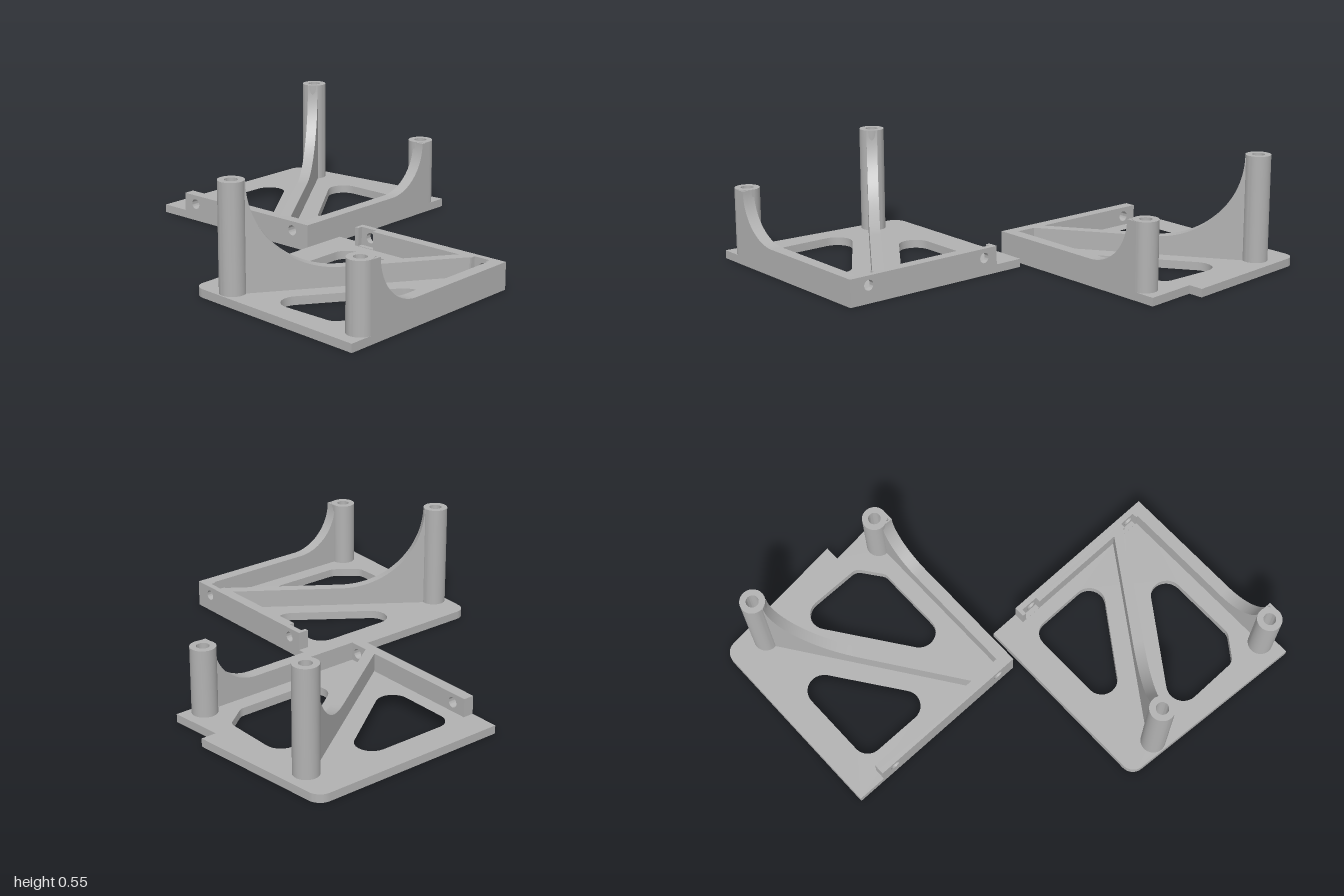
import * as THREE from 'three';
import { toCreasedNormals } from 'three/addons/utils/BufferGeometryUtils.js';

const PLATE = 0.04, WALL = 0.13, POST_R = 0.06, FRONT = -0.02;
const TALL = { x: 0.8, z: -0.81, h: 0.55 };
const SHORT = { x: 0.8, z: -0.08, h: 0.365 };
const BOLTS = [-0.78, -0.12];

// Polygon of [x, y, radius] corners, rounded with true arcs
function roundedPoints(corners) {
  const out = [];
  corners.forEach(([x, y, r = 0], i) => {
    const p = new THREE.Vector2(x, y);
    if (!r) return out.push(p);
    const a = corners[(i + corners.length - 1) % corners.length];
    const b = corners[(i + 1) % corners.length];
    const u = new THREE.Vector2(a[0], a[1]).sub(p).normalize();
    const v = new THREE.Vector2(b[0], b[1]).sub(p).normalize();
    const half = Math.acos(u.dot(v)) / 2;
    const c = p.clone().addScaledVector(u.clone().add(v).normalize(), r / Math.sin(half));
    const t = r / Math.tan(half);
    const a0 = p.clone().addScaledVector(u, t).sub(c).angle();
    let d = p.clone().addScaledVector(v, t).sub(c).angle() - a0;
    if (d > Math.PI) d -= 2 * Math.PI;
    if (d < -Math.PI) d += 2 * Math.PI;
    for (let k = 0; k <= 10; k++) {
      const ang = a0 + d * k / 10;
      out.push(new THREE.Vector2(c.x + r * Math.cos(ang), c.y + r * Math.sin(ang)));
    }
  });
  return out;
}

function circleHole(x, y, r) {
  const path = new THREE.Path();
  path.absarc(x, y, r, 0, Math.PI * 2, true);
  return path;
}

const extrude = (shape, depth) =>
  new THREE.ExtrudeGeometry(shape, { depth, bevelEnabled: false, curveSegments: 16 });

// One bracket half; side 1 is the left half, side -1 the mirrored right half
function bracket(side, outline, nutPockets, material) {
  const group = new THREE.Group();
  const mx = x => side > 0 ? x : -0.045 - x;
  const add = (name, geometry) => {
    const mesh = new THREE.Mesh(toCreasedNormals(geometry, 0.5), material);
    mesh.name = name;
    group.add(mesh);
    return mesh;
  };
  const flat = list => roundedPoints(list.map(([x, z, r]) => [mx(x), -z, r]));

  // Base plate with two cut-outs and the screw holes
  const plate = new THREE.Shape(flat(outline));
  plate.holes.push(
    new THREE.Path(flat([[0.01, -0.855, 0.075], [0.655, -0.855, 0.078], [0.01, -0.394, 0.078]])),
    new THREE.Path(flat([[0.78, -0.665, 0.08], [0.07, -0.16, 0.08], [0.66, -0.16, 0.05], [0.78, -0.25, 0.05]])),
    ...[TALL, SHORT].map(p => circleHole(mx(p.x), -p.z, 0.045)));
  add('basePlate', extrude(plate, PLATE).rotateX(-Math.PI / 2));

  // Hollow posts with a counterbore underneath
  for (const [name, p] of [['tallPost', TALL], ['shortPost', SHORT]]) {
    const profile = [[0.045, 0], [0.045, 0], [POST_R, 0.002], [POST_R, p.h], [0.03, p.h], [0.03, 0.1], [0.045, 0.1], [0.045, 0]]
      .slice(1).map(([r, y]) => new THREE.Vector2(r, y));
    add(name, new THREE.LatheGeometry(profile, 40).translate(mx(p.x), 0, p.z));
  }

  // Low rib that sweeps up to a post in a quarter circle
  function rib(name, post, dx, dz, start, length, lat0, lat1) {
    const top = post.h - 0.002, radius = top - WALL;
    const shape = new THREE.Shape();
    shape.moveTo(start, PLATE);
    shape.lineTo(length, PLATE);
    shape.lineTo(length, WALL);
    shape.lineTo(POST_R - 0.003 + radius, WALL);
    for (let k = 1; k <= 24; k++) {
      const a = Math.PI / 2 * k / 24;
      shape.lineTo(POST_R - 0.003 + radius * (1 - Math.sin(a)), WALL + radius * (1 - Math.cos(a)));
    }
    shape.lineTo(start, top);
    const low = Math.min(side * lat0, side * lat1);
    const along = new THREE.Vector3(side * dx, 0, dz).normalize();
    const up = new THREE.Vector3(0, 1, 0);
    const basis = new THREE.Matrix4().makeBasis(along, up, along.clone().cross(up));
    basis.setPosition(mx(post.x), 0, post.z);
    add(name, extrude(shape, Math.abs(lat1 - lat0)).translate(0, 0, low).applyMatrix4(basis));
  }
  rib('diagonalRib', TALL, -0.86, 0.6, 0.05, 1.07, -0.026, 0.026);
  rib('frontWall', SHORT, -1, 0, 0.05, 0.88, 0, -0.047);
  rib('frontWallFace', SHORT, -1, 0, 0, 0.88, -0.047, -0.06);

  // Joining wall in two layers, the inner one notched for nuts
  for (const [name, x0, x1, notched] of [['joinWall', -0.114, -0.085, false], ['joinWallInner', -0.085, -0.06, nutPockets]]) {
    const points = [[-0.855, PLATE], [FRONT, PLATE], [FRONT, WALL]];
    if (notched) {
      for (const [a, b] of [[-0.09, -0.17], [-0.745, -0.835]]) {
        points.push([a, WALL], [a, PLATE + 0.002], [b, PLATE + 0.002], [b, WALL]);
      }
    }
    points.push([-0.855, WALL]);
    const shape = new THREE.Shape(roundedPoints(points));
    if (!notched) BOLTS.forEach(z => shape.holes.push(circleHole(z, 0.085, 0.025)));
    add(name, extrude(shape, x1 - x0).rotateY(-Math.PI / 2).translate(Math.max(mx(x0), mx(x1)), 0, 0));
  }
  return group;
}

export function createModel() {
  const grey = new THREE.MeshStandardMaterial({ color: 0xb2b2b2 });
  grey.name = 'grey';
  const model = new THREE.Group();
  model.name = 'mountingBrackets';

  // Left half, with a stepped outer edge
  const left = bracket(1, [[-0.114, -1], [0.885, -1, 0.065], [0.96, -0.28], [0.885, -0.28], [0.912, FRONT], [-0.114, FRONT]], false, grey);
  left.name = 'leftBracket';

  // Right half, mirrored and moved forward, with a plain outer edge
  const right = bracket(-1, [[-0.114, -1], [0.853, -1, 0.065], [0.919, FRONT], [-0.114, FRONT]], true, grey);
  right.name = 'rightBracket';
  right.position.z = 1.02;

  model.add(left, right);
  return model;
}
